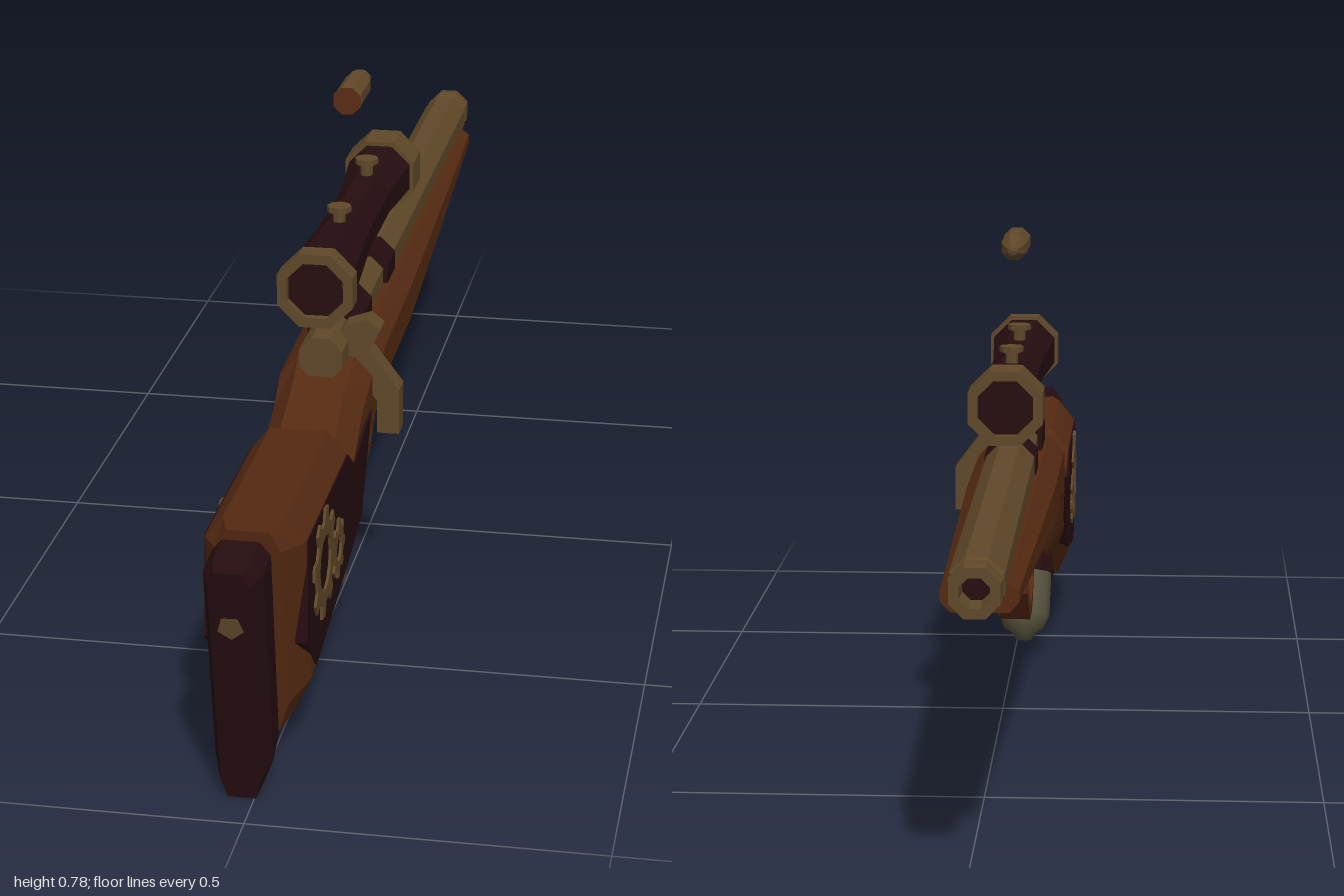
import * as THREE from 'three';

const material = (name, color) => Object.assign(new THREE.MeshStandardMaterial({ color }), { name });
const wood = material('walnut wood', 0x552a12);
const dark = material('dark oxblood', 0x260d10);
const brass = material('aged brass', 0x604829);
const glass = material('grey olive', 0x58543f);
const copper = material('copper brown', 0x5a2d12);

export function createModel() {
  const model = new THREE.Group();
  model.name = 'rifle';
  model.position.x = -0.018;

  const add = (name, geometry, mat, smooth = false) => {
    let g = geometry;
    if (!smooth) {
      if (g.index) g = g.toNonIndexed();
      g.computeVertexNormals();
    }
    const mesh = new THREE.Mesh(g, mat);
    mesh.name = name;
    model.add(mesh);
    return mesh;
  };

  // Turned part along z from [radius, z] points, listed from low z to high z
  const turned = (profile, y, sides = 8) =>
    new THREE.LatheGeometry(profile.map(p => new THREE.Vector2(...p)), sides, Math.PI / sides)
      .rotateX(Math.PI / 2).translate(0, y, 0);

  // Flat outline in (z, y), thickened from x0 to x1
  const outline = pts => new THREE.Shape(pts.map(p => new THREE.Vector2(...p)));
  const plate = (shape, x0, x1) =>
    new THREE.ExtrudeGeometry(shape, { depth: x1 - x0, bevelEnabled: false, curveSegments: 6 })
      .rotateY(-Math.PI / 2).translate(x1, 0, 0);

  // Chamfered loft; station = [zTop, zBottom, yTop, yBottom, halfWidth, innerHalfWidth, topCut, bottomCut]
  const loft = stations => {
    const pos = [], idx = [], n = 8;
    for (const [zt, zb, yt, yb, w, wi, ct, cb] of stations) {
      const ring = [[-wi, yb], [wi, yb], [w, yb + cb], [w, yt - ct],
        [wi, yt], [-wi, yt], [-w, yt - ct], [-w, yb + cb]];
      for (const [x, y] of ring) pos.push(x, y, zb + (zt - zb) * (y - yb) / (yt - yb));
    }
    const last = (stations.length - 1) * n;
    for (let s = 0; s < last; s += n) {
      for (let j = 0; j < n; j++) {
        const k = (j + 1) % n, a = s + j, b = s + k, c = s + n + k, d = s + n + j;
        idx.push(a, d, b, d, c, b);
      }
    }
    for (let j = 1; j < n - 1; j++) idx.push(0, j, j + 1, last, last + j + 1, last + j);
    const g = new THREE.BufferGeometry();
    g.setAttribute('position', new THREE.Float32BufferAttribute(pos, 3));
    g.setIndex(idx);
    return g;
  };

  // Wooden stock from butt to fore-end
  add('stock', loft([
    [0.87, 0.82, 0.375, 0.045, 0.046, 0.03, 0.03, 0.05],
    [0.825, 0.775, 0.375, 0.056, 0.071, 0.043, 0.035, 0.06],
    [0.505, 0.505, 0.375, 0.122, 0.071, 0.043, 0.035, 0.05],
    [0.455, 0.435, 0.335, 0.14, 0.071, 0.043, 0.035, 0.045],
    [0.36, 0.345, 0.378, 0.19, 0.068, 0.04, 0.035, 0.045],
    [0.29, 0.305, 0.405, 0.255, 0.071, 0.043, 0.03, 0.04],
    [0.17, 0.17, 0.41, 0.288, 0.071, 0.045, 0.03, 0.04],
    [-0.1, -0.1, 0.412, 0.292, 0.07, 0.045, 0.025, 0.04],
    [-0.895, -0.895, 0.415, 0.375, 0.053, 0.04, 0.01, 0.015],
  ]), wood);

  // Butt plate on three brass rods
  add('buttPlate', loft([
    [1.0, 0.93, 0.372, 0.0, 0.028, 0.02, 0.02, 0.03],
    [0.965, 0.9, 0.376, 0.012, 0.041, 0.026, 0.02, 0.04],
    [0.912, 0.865, 0.38, 0.03, 0.041, 0.026, 0.02, 0.04],
  ]), dark);
  [[0.295, 0.92], [0.193, 0.9], [0.088, 0.88]].forEach(([y, z]) => {
    const rod = add('buttRod', new THREE.CylinderGeometry(0.019, 0.019, 0.15, 5).rotateX(Math.PI / 2), brass);
    rod.geometry.rotateZ(0.05);
    rod.rotation.x = 0.18;
    rod.position.set(0, y + 0.003, z - 0.01);
  });

  // Side panels and gears, mirrored
  const panel = outline([[0.81, 0.34], [0.505, 0.34], [0.45, 0.302], [0.3, 0.33],
    [0.385, 0.195], [0.47, 0.172], [0.755, 0.122], [0.825, 0.19]]);
  const gear = (cz, cy, r, hole, teeth, turn) => {
    const pts = [];
    for (let i = 0; i < teeth; i++) {
      [[-0.3, 0.76], [-0.17, 1], [0.17, 1], [0.3, 0.76]].forEach(([f, k]) => {
        const a = (i + f) / teeth * Math.PI * 2 + turn;
        pts.push([cz + Math.cos(a) * r * k, cy + Math.sin(a) * r * k]);
      });
    }
    const shape = outline(pts);
    shape.holes.push(new THREE.Path().absarc(cz, cy, hole, 0, Math.PI * 2, true));
    return shape;
  };
  const gears = [gear(0.703, 0.258, 0.082, 0.042, 8, 0.2), gear(0.597, 0.232, 0.045, 0.02, 8, 0.1)];
  for (const side of [1, -1]) {
    const place = (shape, a, b) => side > 0 ? plate(shape, a, b) : plate(shape, -b, -a);
    add('sidePanel', place(panel, 0.045, 0.073), dark);
    gears.forEach(g => add('gear', place(g, 0.07, 0.077), brass));
  }

  // Barrel with hollow muzzle
  add('barrel', turned([[0, -0.95], [0.02, -0.95], [0.022, -1], [0.037, -1], [0.039, -0.985],
    [0.039, -0.965], [0.036, -0.96], [0.036, -0.95], [0.04, -0.945], [0.041, -0.1], [0, -0.1]], 0.425), brass);
  add('bore', turned([[0, -0.955], [0.021, -0.955], [0.021, -0.95]], 0.425), dark);

  // Receiver rings, chamber and bolt
  const rod = (name, z0, z1, r, y, mat) =>
    add(name, turned([[0, z0], [r, z0], [r, z1], [0, z1]], y), mat);
  rod('receiverFront', -0.112, -0.04, 0.044, 0.425, dark);
  rod('chamber', -0.045, 0.115, 0.036, 0.422, brass);
  rod('receiverRear', 0.11, 0.225, 0.044, 0.425, dark);
  rod('bolt', 0.22, 0.33, 0.036, 0.418, brass);

  // Bent bolt handle, drawn in the front plane
  const handle = outline([[0.0, 0.42], [0.028, 0.455], [0.063, 0.467], [0.083, 0.452], [0.066, 0.416],
    [0.112, 0.355], [0.112, 0.283], [0.078, 0.283], [0.078, 0.335], [0.038, 0.385]]);
  add('boltHandle', new THREE.ExtrudeGeometry(handle, { depth: 0.04, bevelEnabled: false })
    .translate(0, 0, 0.24), brass);

  // Scope body, end rings and mounts
  const sy = 0.543;
  add('scopeBody', turned([[0, -0.25], [0.05, -0.25], [0.055, -0.2], [0.043, -0.06], [0.043, 0.12],
    [0.054, 0.3], [0.056, 0.34], [0.05, 0.362], [0, 0.362]], sy), dark);
  for (const [z0, z1] of [[-0.267, -0.197], [0.34, 0.376]])
    add('scopeRing', turned([[0.046, z1], [0.046, z0], [0.062, z0], [0.062, z1], [0.046, z1]], sy), brass);
  for (const z of [0.172, -0.075]) {
    add('scopeMount', new THREE.CylinderGeometry(0.01, 0.01, 0.15, 8).translate(0, 0.53, z), brass);
    add('mountKnob', new THREE.CylinderGeometry(0.019, 0.019, 0.009, 8).translate(0, 0.607, z), brass);
  }

  // Floating cartridge
  add('cartridge', turned([[0, -0.045], [0.008, -0.042], [0.017, -0.022], [0.022, 0.005], [0.022, 0.085],
    [0.018, 0.088], [0.018, 0.092], [0.023, 0.094], [0.023, 0.103]], 0.758), brass);
  add('cartridgeBase', new THREE.CircleGeometry(0.023, 8, Math.PI / 8).translate(0, 0.758, 0.103), copper);

  // Trigger guard loop and trigger
  add('triggerGuard', plate(outline([[0.207, 0.3], [0.207, 0.2], [0.15, 0.147], [0.12, 0.136], [0.06, 0.136],
    [0.03, 0.147], [-0.03, 0.2], [-0.03, 0.3], [-0.008, 0.3], [-0.008, 0.21], [0.04, 0.165], [0.065, 0.158],
    [0.115, 0.158], [0.14, 0.165], [0.185, 0.21], [0.185, 0.3]]), -0.024, 0.024), wood);
  add('trigger', plate(outline([[0.165, 0.3], [0.16, 0.245], [0.12, 0.2], [0.104, 0.212], [0.125, 0.245],
    [0.13, 0.3]]), -0.012, 0.012), brass);

  // Canister under the grip: dark collar and rounded flask
  const flask = [[0, -0.14], [0.014, -0.138], [0.018, -0.128], [0.034, -0.118], [0.044, -0.095],
    [0.046, -0.02], [0.04, 0]].map(p => new THREE.Vector2(...p));
  const tilted = mesh => {
    mesh.rotation.x = 0.38;
    mesh.position.set(0, 0.16, 0.392);
  };
  tilted(add('flask', new THREE.LatheGeometry(flask, 12), glass, true));
  tilted(add('flaskCollar', new THREE.CylinderGeometry(0.048, 0.05, 0.05, 10).translate(0, 0.005, 0), dark));

  return model;
}
